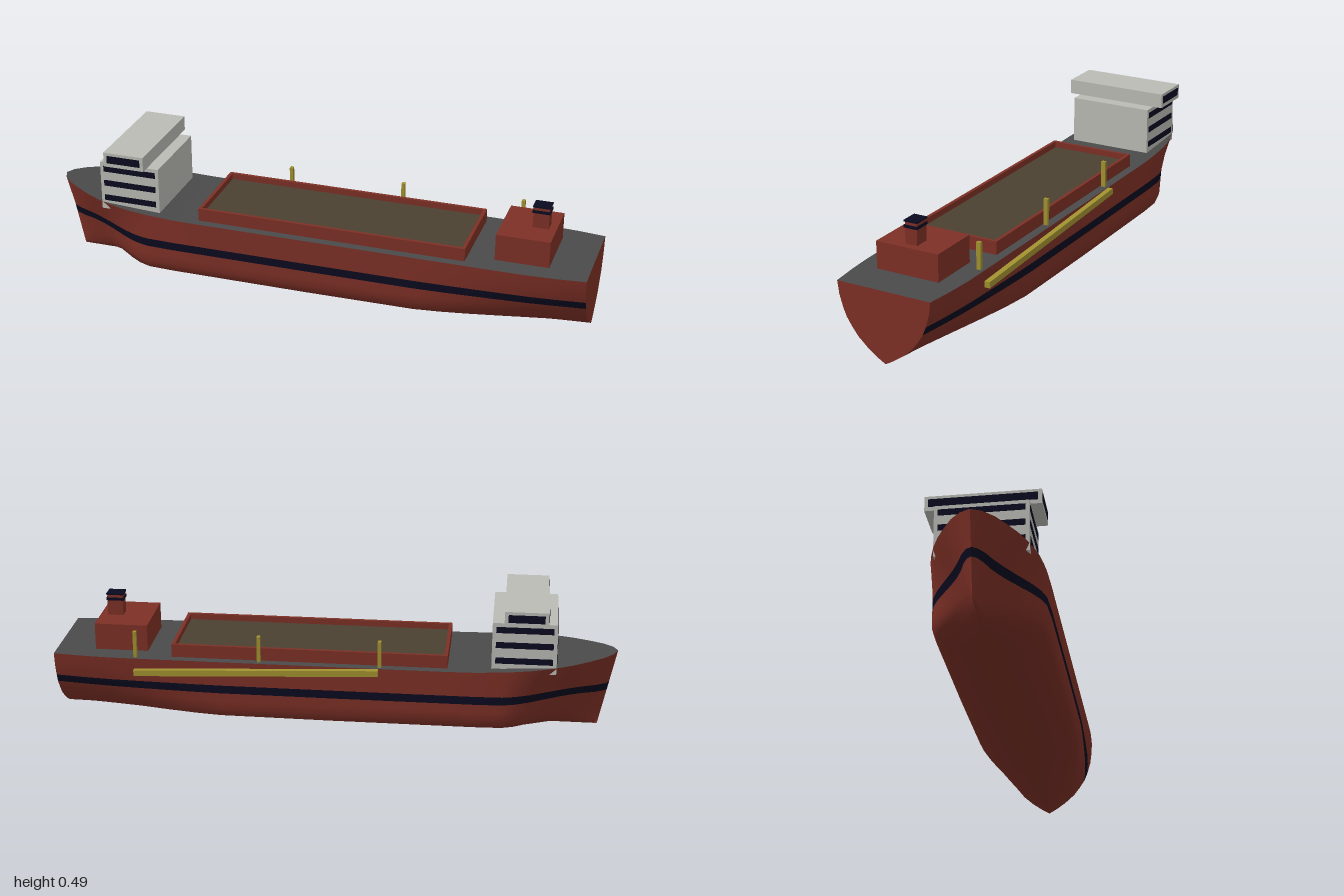
import * as THREE from 'three';

const mat = (name, color, side = THREE.FrontSide) => {
  const m = new THREE.MeshStandardMaterial({ color, side });
  m.name = name;
  return m;
};

const CZ = 0.009; // centreline of the ship
const ROWS = [0, 0.016, 0.042, 0.075, 0.105, 0.135, 0.165, 0.21]; // waterlines below the deck
const MID = [0, 0.54, 0.92, 1, 1, 1, 1, 1, 1];
const STERN = [0, 0.16, 0.37, 0.58, 0.71, 0.82, 0.89, 0.965, 1];
const BOW = [0, 0.1, 0.2, 0.3, 0.38, 0.46, 0.55, 0.76, 1];
const PLAN = [[-1, 0], [-0.985, 0.035], [-0.95, 0.07], [-0.9, 0.102], [-0.85, 0.13], [-0.8, 0.152],
  [-0.75, 0.168], [-0.7, 0.18], [-0.65, 0.187], [-0.6, 0.191], [-0.5, 0.194], [-0.4, 0.194], [0, 0.194],
  [0.4, 0.194], [0.5, 0.194], [0.6, 0.194], [0.7, 0.194], [0.8, 0.193], [0.9, 0.187], [1, 0.176]];

// Half section of the hull at one station, keel to deck
function section([X, w]) {
  const bow = 1 - THREE.MathUtils.smoothstep(X, -0.93, -0.58);
  const stern = THREE.MathUtils.smoothstep(X, 0.3, 1.1) / THREE.MathUtils.smoothstep(1, 0.3, 1.1);
  const rake = THREE.MathUtils.clamp((-0.6 - X) / 0.4, 0, 1);
  const deckY = 0.255 + 0.03 * Math.pow(Math.max(0, (-0.45 - X) / 0.55), 1.3);
  return MID.map((f, r) => {
    const y = r < ROWS.length ? ROWS[r] : deckY;
    const k = f + (BOW[r] - f) * bow + (STERN[r] - f) * stern;
    return [X + 0.06 * rake * (1 - y / 0.285), y, w * k];
  });
}

function geometry(pos, index) {
  const g = new THREE.BufferGeometry();
  g.setAttribute('position', new THREE.Float32BufferAttribute(pos, 3));
  g.setIndex(index);
  g.computeVertexNormals();
  return g;
}

function buildHull(red, navy, grey) {
  const group = new THREE.Group();
  group.name = 'hull';
  const stations = PLAN.map(section);
  const top = MID.length - 1, cols = 2 * top + 1;

  // Shell, with the waterline stripe as its own material group
  const pos = [], plain = [], stripe = [];
  stations.forEach((s) => {
    for (let j = 0; j < cols; j++) {
      const [x, y, h] = s[Math.abs(top - j)];
      pos.push(x, y, CZ + (j < top ? h : -h));
    }
  });
  for (let i = 0; i < stations.length - 1; i++) {
    for (let j = 0; j < cols - 1; j++) {
      const a = i * cols + j, b = a + cols;
      const row = j < top ? top - j - 1 : j - top;
      (row === 5 ? stripe : plain).push(a, a + 1, b, b, a + 1, b + 1);
    }
  }
  const shellGeo = geometry(pos, [...plain, ...stripe]);
  shellGeo.addGroup(0, plain.length, 0);
  shellGeo.addGroup(plain.length, stripe.length, 1);
  const shell = new THREE.Mesh(shellGeo, [red, navy]);
  shell.name = 'hullShell';

  // Flat transom closing the stern
  const tPos = [], tIdx = [];
  stations[stations.length - 1].forEach(([x, y, h], r) => {
    tPos.push(x, y, CZ + h, x, y, CZ - h);
    if (r < top) tIdx.push(2 * r, 2 * r + 1, 2 * r + 2, 2 * r + 1, 2 * r + 3, 2 * r + 2);
  });
  const transom = new THREE.Mesh(geometry(tPos, tIdx), red);
  transom.name = 'transom';

  // Deck strip between the two sheer lines
  const dPos = [], dIdx = [];
  stations.forEach((s, i) => {
    const [x, y, h] = s[top];
    dPos.push(x, y, CZ + h, x, y, CZ - h);
    const a = 2 * i;
    if (i < stations.length - 1) dIdx.push(a, a + 2, a + 1, a + 1, a + 2, a + 3);
  });
  const deck = new THREE.Mesh(geometry(dPos, dIdx), grey);
  deck.name = 'deck';
  group.add(shell, transom, deck);
  return group;
}

export function createModel() {
  const red = mat('hull red', 0x7d3026);
  const navy = mat('navy', 0x0a0a20);
  const grey = mat('deck grey', 0x4a4a4a);
  const white = mat('house light grey', 0xbbbbb5);
  const sand = mat('sand', 0x4a4131);
  const yellow = mat('pipe yellow', 0xa29230);

  const ship = new THREE.Group();
  ship.name = 'dredger';
  ship.add(buildHull(red, navy, grey));

  // Box given by its limits on each axis
  const box = (name, m, x0, x1, y0, y1, z0, z1, parent = ship) => {
    const mesh = new THREE.Mesh(new THREE.BoxGeometry(x1 - x0, y1 - y0, z1 - z0), m);
    mesh.position.set((x0 + x1) / 2, (y0 + y1) / 2, (z0 + z1) / 2);
    mesh.name = name;
    parent.add(mesh);
    return mesh;
  };

  // Accommodation and bridge near the bow; windows on both sides and forward
  const house = new THREE.Group();
  house.name = 'bridgeHouse';
  ship.add(house);
  const windows = (x0, x1, z0, z1, y0, y1) => {
    const t = 0.002, m = 0.013;
    for (const z of [z0, z1]) box('sideWindows', navy, x0 + m, x1 - m, y0, y1, z - t, z + t, house);
    box('forwardWindows', navy, x0 - t, x0 + t, y0, y1, z0 + m, z1 - m, house);
  };
  box('accommodation', white, -0.783, -0.557, 0.245, 0.43, -0.147, 0.167, house);
  for (const y of [0.28, 0.338, 0.394]) windows(-0.783, -0.557, -0.147, 0.167, y, y + 0.022);
  box('wheelhouse', white, -0.75, -0.598, 0.433, 0.487, -0.186, 0.204, house);
  windows(-0.75, -0.598, -0.186, 0.204, 0.448, 0.476);

  // Hopper coaming filled with sand
  const rim = new THREE.Shape();
  const rect = (p, x0, x1, z0, z1) =>
    p.moveTo(x0, z0).lineTo(x1, z0).lineTo(x1, z1).lineTo(x0, z1).closePath();
  rect(rim, -0.405, 0.575, -0.171, 0.153);
  const hole = new THREE.Path();
  rect(hole, -0.393, 0.563, -0.159, 0.141);
  rim.holes.push(hole);
  const coaming = new THREE.Mesh(
    new THREE.ExtrudeGeometry(rim, { depth: 0.052, bevelEnabled: false }).rotateX(-Math.PI / 2), red);
  coaming.position.y = 0.25;
  coaming.name = 'hopperCoaming';
  ship.add(coaming);
  box('sandLoad', sand, -0.394, 0.564, 0.25, 0.28, -0.142, 0.16);

  // Engine house and funnel at the stern
  box('engineHouse', red, 0.67, 0.86, 0.25, 0.352, -0.108, 0.127);
  box('funnel', red, 0.777, 0.833, 0.352, 0.431, -0.013, 0.032);
  box('funnelBand', navy, 0.774, 0.836, 0.408, 0.418, -0.016, 0.035);
  box('funnelCap', navy, 0.774, 0.836, 0.429, 0.434, -0.016, 0.035);

  // Sloping suction pipe outboard, and its gantry posts
  const pipe = box('suctionPipe', yellow, -0.165, 0.705, 0.214, 0.236, -0.204, -0.184);
  pipe.rotation.z = -Math.atan2(0.037, 0.87);
  for (const x of [-0.167, 0.26, 0.703]) box('gantryPost', yellow, x - 0.006, x + 0.006, 0.25, 0.351, -0.173, -0.157);

  return ship;
}
